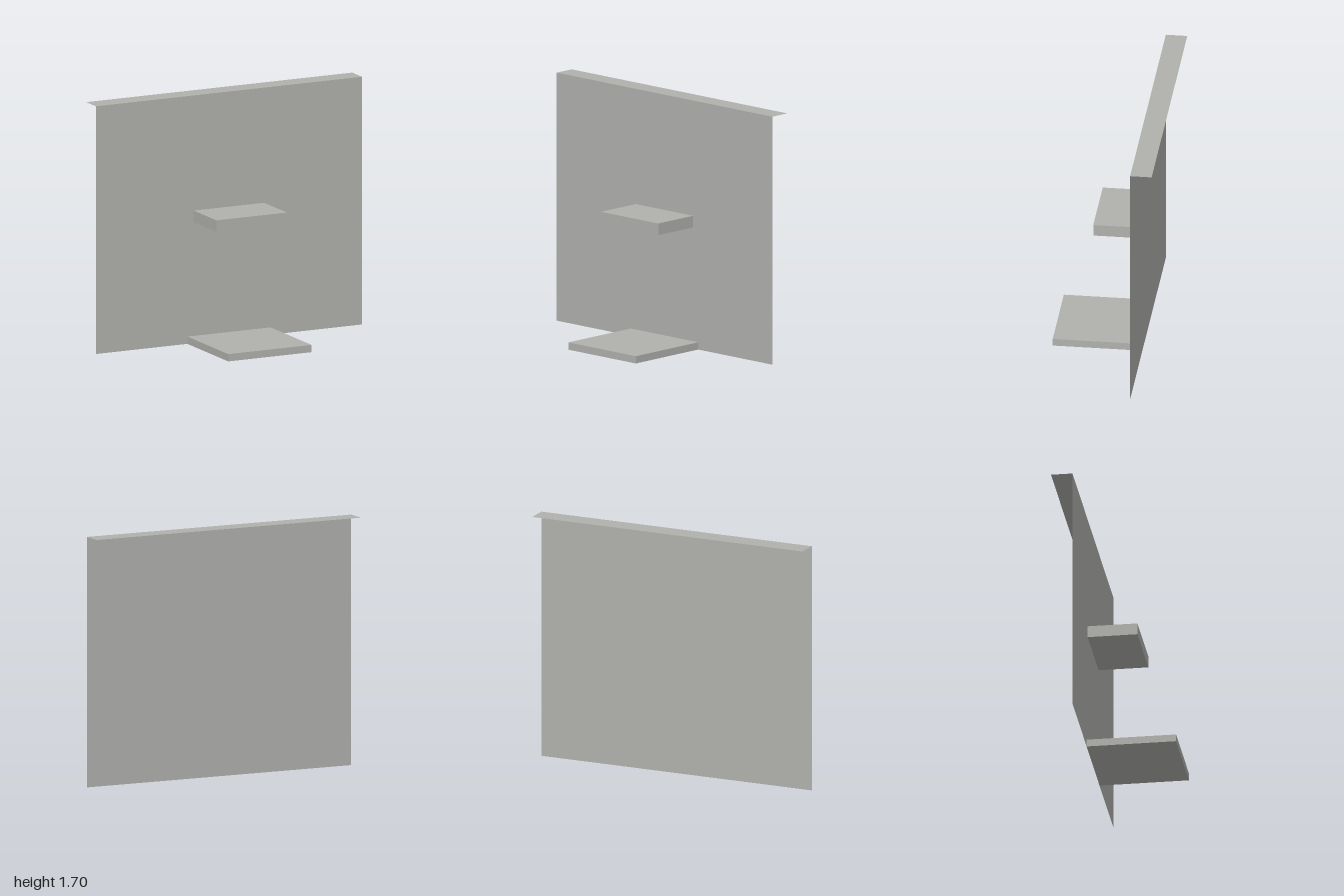
import * as THREE from 'three';

export function createModel() {
  const model = new THREE.Group();
  const grey = new THREE.MeshStandardMaterial({ color: 0xb0b0ad, side: THREE.DoubleSide });
  grey.name = 'warm grey';

  const wallZ = -0.23, backZ = -0.375, height = 1.7;

  const add = (name, geometry, x, y, z) => {
    const mesh = new THREE.Mesh(geometry, grey);
    mesh.name = name;
    mesh.position.set(x, y, z);
    model.add(mesh);
    return mesh;
  };

  // Thin upright panel
  add('backPanel', new THREE.PlaneGeometry(2, height), 0, height / 2, wallZ);

  // Thin flange folded backwards along the top edge
  const flangeDepth = wallZ - backZ;
  add('topFlange', new THREE.PlaneGeometry(2, flangeDepth).rotateX(-Math.PI / 2),
    0, height, (wallZ + backZ) / 2);

  // Slabs standing out from the front of the panel
  const slab = (name, width, bottom, top, frontZ) =>
    add(name, new THREE.BoxGeometry(width, top - bottom, frontZ - wallZ),
      0, (bottom + top) / 2, (frontZ + wallZ) / 2);
  slab('shelf', 0.53, 0.83, 0.91, 0.107);
  slab('basePlate', 0.626, 0, 0.05, 0.375);

  return model;
}
